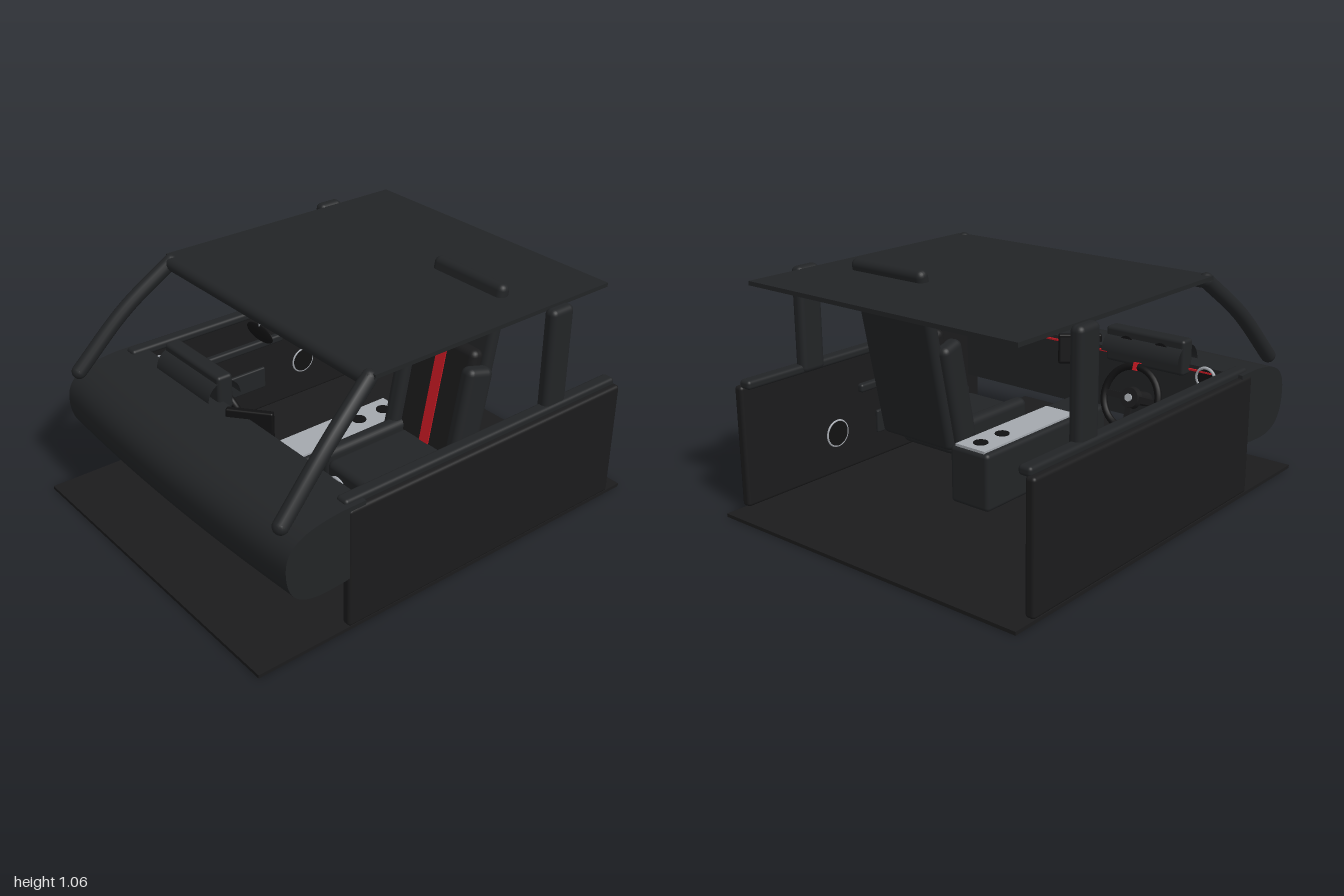
import * as THREE from 'three';
import { toCreasedNormals } from 'three/addons/utils/BufferGeometryUtils.js';
import { RoundedBoxGeometry } from 'three/addons/geometries/RoundedBoxGeometry.js';

const mat = (color, side = THREE.FrontSide) => new THREE.MeshStandardMaterial({ color, side });

export function createModel() {
  const model = new THREE.Group();
  const trim = mat(0x222426), dark = mat(0x1b1b1c), black = mat(0x111112);
  const red = mat(0xcc1a24), silver = mat(0xa4a8ae);
  const shell = mat(0x222426, THREE.DoubleSide);

  const add = (name, geometry, material, x = 0, y = 0, z = 0, parent = model) => {
    const mesh = new THREE.Mesh(geometry, material);
    mesh.name = name;
    mesh.position.set(x, y, z);
    parent.add(mesh);
    return mesh;
  };
  const rbox = (w, h, d, r = 0.015) => new RoundedBoxGeometry(w, h, d, 3, r);
  const group = (name, x, y, z) => {
    const g = new THREE.Group();
    g.name = name;
    g.position.set(x, y, z);
    model.add(g);
    return g;
  };

  // Floor and roof
  add('floor', new THREE.BoxGeometry(1.58, 0.015, 2), dark, 0, 0.0075, 0);
  add('roof', new THREE.BoxGeometry(1.4, 0.018, 1.26), trim, 0, 1.005, -0.245);
  const header = add('windshieldHeader', new THREE.CylinderGeometry(0.03, 0.03, 1.34, 16), trim, 0, 0.985, 0.39);
  header.rotation.z = Math.PI / 2;

  // Dashboard: rounded profile swept across the car, nose bowed forward at the centre
  const profile = new THREE.Shape();
  profile.moveTo(0.5, 0.27);
  profile.lineTo(0.5, 0.575);
  profile.lineTo(0.62, 0.575);
  profile.bezierCurveTo(0.77, 0.565, 0.9, 0.545, 0.9, 0.42);
  profile.bezierCurveTo(0.9, 0.29, 0.83, 0.245, 0.7, 0.245);
  profile.lineTo(0.6, 0.25);
  profile.closePath();
  const dashGeo = new THREE.ExtrudeGeometry(profile, { depth: 1.59, steps: 16, bevelEnabled: false, curveSegments: 16 });
  dashGeo.rotateY(-Math.PI / 2).translate(0.795, 0, 0);
  const p = dashGeo.attributes.position;
  for (let i = 0; i < p.count; i++) {
    const bow = Math.max(0, p.getZ(i) - 0.5) / 0.4;
    p.setZ(i, p.getZ(i) - 0.03 * bow * (p.getX(i) / 0.8) ** 2);
  }
  add('dashboard', toCreasedNormals(dashGeo, 0.6), trim);
  add('dashAccentStrip', new THREE.BoxGeometry(1.3, 0.008, 0.012), red, 0, 0.555, 0.497);

  // Instrument cluster with a curved hood
  add('instrumentCluster', rbox(0.41, 0.16, 0.075), trim, -0.33, 0.61, 0.485);
  const hoodGeo = new THREE.CylinderGeometry(0.08, 0.08, 0.4, 20, 1, true, 0, Math.PI);
  hoodGeo.rotateZ(Math.PI / 2);
  add('instrumentHood', hoodGeo, shell, -0.33, 0.585, 0.49);
  for (const s of [-1, 1]) {
    const dial = add('gauge', new THREE.CylinderGeometry(0.042, 0.042, 0.008, 24), black, -0.33 + s * 0.09, 0.62, 0.446);
    dial.rotation.x = Math.PI / 2;
  }

  // Steering wheel
  const wheel = group('steeringWheel', -0.32, 0.41, 0.37);
  wheel.rotation.x = 0.3;
  add('rim', new THREE.TorusGeometry(0.14, 0.016, 12, 40), black, 0, 0, 0, wheel);
  add('hub', new THREE.CylinderGeometry(0.045, 0.05, 0.03, 24).rotateX(-Math.PI / 2), dark, 0, 0, 0, wheel);
  add('hubCap', new THREE.CylinderGeometry(0.017, 0.017, 0.01, 20).rotateX(Math.PI / 2), silver, 0, 0, -0.02, wheel);
  for (const a of [0, Math.PI, -Math.PI / 2]) {
    const spoke = add('spoke', new THREE.BoxGeometry(0.11, 0.028, 0.014), dark, 0.085 * Math.cos(a), 0.085 * Math.sin(a), 0, wheel);
    spoke.rotation.z = a;
  }
  add('topMarker', new THREE.BoxGeometry(0.02, 0.036, 0.036), red, 0, 0.14, 0, wheel);
  add('column', new THREE.CylinderGeometry(0.03, 0.035, 0.2, 16).rotateX(Math.PI / 2), dark, 0, 0, 0.1, wheel);

  // Centre screen, angled to the driver
  const screen = group('centreScreen', 0.05, 0.54, 0.49);
  screen.rotation.y = 0.68;
  add('screenHousing', rbox(0.2, 0.14, 0.03, 0.008), black, 0, 0, 0, screen);
  add('screenGlass', new THREE.BoxGeometry(0.18, 0.115, 0.004), dark, 0, 0, -0.016, screen);

  // Centre console
  add('console', rbox(0.21, 0.26, 0.84, 0.02), trim, 0, 0.17, 0.07);
  add('consolePlate', new THREE.BoxGeometry(0.16, 0.012, 0.62), silver, 0, 0.303, -0.03);
  for (const z of [-0.13, -0.27])
    add('cupHolder', new THREE.CylinderGeometry(0.032, 0.032, 0.008, 24), black, 0, 0.31, z);

  // Rear-view mirror
  const mirror = add('mirror', new THREE.SphereGeometry(1, 28, 16), black, 0, 0.91, 0.392);
  mirror.scale.set(0.088, 0.035, 0.008);
  add('mirrorStem', new THREE.CylinderGeometry(0.005, 0.005, 0.06, 10), silver, 0, 0.965, 0.392);

  // Parts repeated on both sides
  for (const s of [-1, 1]) {
    add('door', rbox(0.045, 0.54, 1.49), dark, s * 0.777, 0.29, -0.165);
    add('windowSill', rbox(0.06, 0.04, 1.48), trim, s * 0.745, 0.57, -0.16);
    add('armrest', rbox(0.035, 0.04, 0.55, 0.012), trim, s * 0.745, 0.39, 0.02);
    add('doorPocket', rbox(0.02, 0.11, 0.6, 0.008), trim, s * 0.75, 0.2, 0.15);
    const ring = add('speakerRing', new THREE.TorusGeometry(0.06, 0.005, 8, 32), silver, s * 0.754, 0.21, -0.39);
    ring.rotation.y = Math.PI / 2;
    const speaker = add('speaker', new THREE.CylinderGeometry(0.058, 0.058, 0.008, 28), black, s * 0.754, 0.21, -0.39);
    speaker.rotation.z = Math.PI / 2;

    add('rearPillar', rbox(0.06, 0.47, 0.125, 0.025), trim, s * 0.735, 0.785, -0.545);
    const path = new THREE.CatmullRomCurve3([
      new THREE.Vector3(s * 0.665, 0.99, 0.385),
      new THREE.Vector3(s * 0.705, 0.81, 0.61),
      new THREE.Vector3(s * 0.73, 0.575, 0.84)]);
    add('windshieldPillar', new THREE.TubeGeometry(path, 16, 0.033, 14), trim);
    for (const t of [0, 1]) {
      const end = path.getPoint(t);
      add('pillarEnd', new THREE.SphereGeometry(0.033, 14, 10), trim, end.x, end.y, end.z);
    }

    add('sunVisor', rbox(0.42, 0.016, 0.17, 0.007), dark, s * 0.33, 0.977, 0.285);
    add('ventRing', new THREE.TorusGeometry(0.045, 0.007, 10, 28), silver, s * 0.62, 0.53, 0.496);
    const vent = add('vent', new THREE.CylinderGeometry(0.043, 0.043, 0.01, 24), black, s * 0.62, 0.53, 0.498);
    vent.rotation.x = Math.PI / 2;
  }

  // Passenger seat: cushion, then the reclined back
  const cushion = group('seatCushion', 0.33, 0, -0.03);
  add('cushionPad', rbox(0.3, 0.12, 0.46, 0.03), trim, 0, 0.26, 0, cushion);
  const back = group('seatBack', 0.33, 0.25, -0.29);
  back.rotation.x = -0.2;
  add('backShell', rbox(0.41, 0.83, 0.06, 0.028), trim, 0, 0.415, 0, back);
  add('backPad', rbox(0.36, 0.52, 0.07, 0.03), dark, 0, 0.28, 0.05, back);
  add('headrest', rbox(0.21, 0.125, 0.07, 0.03), trim, 0, 0.6, 0.065, back);
  add('backStripe', new THREE.BoxGeometry(0.055, 0.5, 0.01), red, 0, 0.275, 0.084, back);
  for (const s of [-1, 1]) {
    add('cushionBolster', rbox(0.07, 0.14, 0.46, 0.03), trim, s * 0.17, 0.29, 0, cushion);
    const wing = add('backBolster', rbox(0.075, 0.47, 0.13, 0.03), trim, s * 0.195, 0.245, 0.065, back);
    wing.rotation.y = s * -0.15;
  }
  return model;
}
